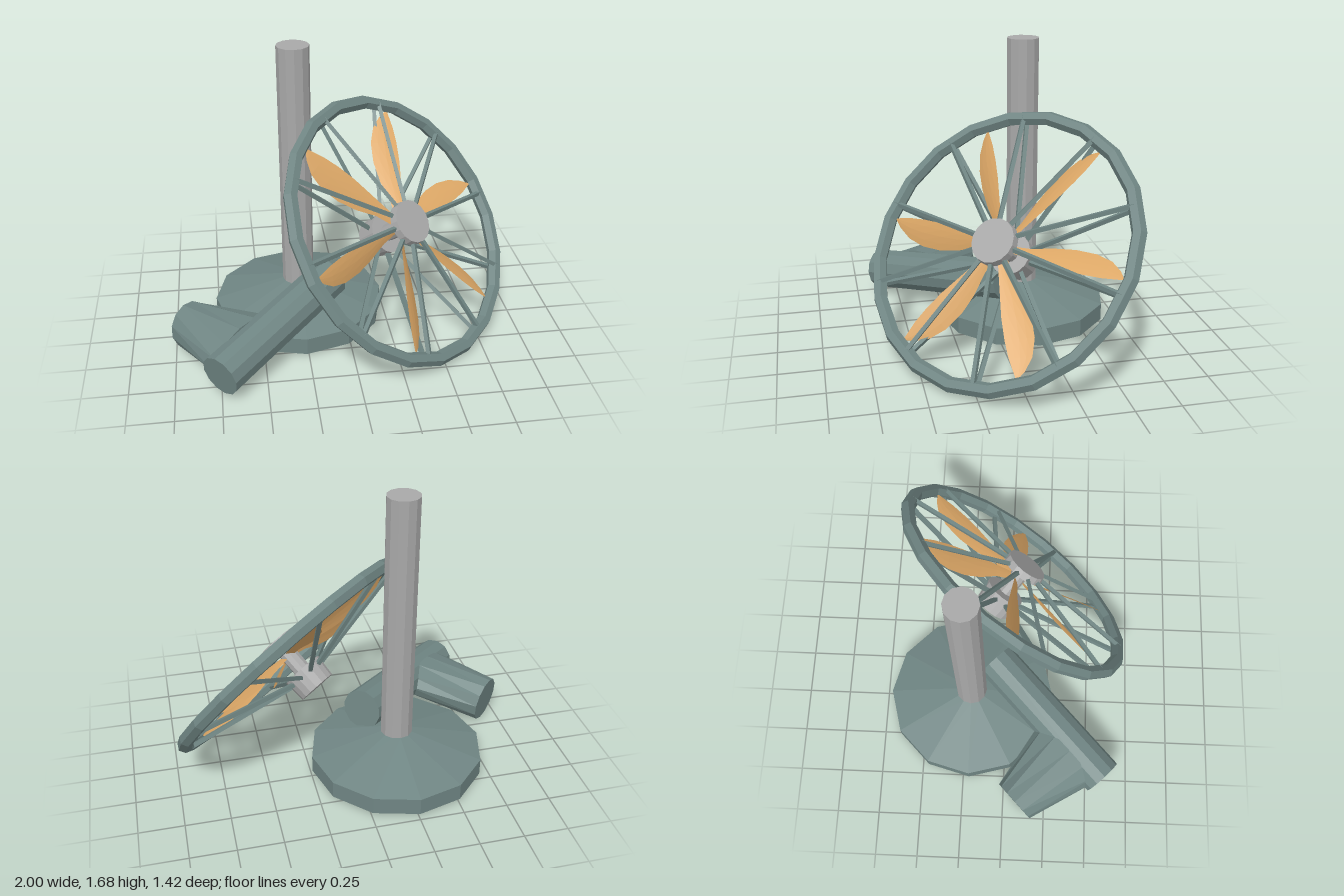
import * as THREE from 'three';

const mat = (color) => new THREE.MeshStandardMaterial({ color, flatShading: true, side: THREE.DoubleSide });
const green = mat(0x6f8583);
const grey = mat(0xa8a8a8);
const orange = mat(0xdca766);
const V = (x, y, z) => new THREE.Vector3(x, y, z);

function add(parent, name, geometry, material, x = 0, y = 0, z = 0) {
  const mesh = new THREE.Mesh(geometry, material);
  mesh.name = name;
  mesh.position.set(x, y, z);
  parent.add(mesh);
  return mesh;
}

// Group whose local x and z axes point along the given directions
function orientedGroup(name, origin, xDir, zDir) {
  const z = zDir.clone().normalize();
  const x = xDir.clone().addScaledVector(z, -xDir.dot(z)).normalize();
  const g = new THREE.Group();
  g.name = name;
  g.quaternion.setFromRotationMatrix(new THREE.Matrix4().makeBasis(x, z.clone().cross(x), z));
  g.position.copy(origin);
  return g;
}

// Thin square rod between two points
function rod(parent, name, a, b, r) {
  const d = b.clone().sub(a);
  const m = add(parent, name, new THREE.CylinderGeometry(r, r, d.length(), 4), green);
  m.position.copy(a).addScaledVector(d, 0.5);
  m.quaternion.setFromUnitVectors(V(0, 1, 0), d.normalize());
}

// Cylinder lying along local z, between z0 and z1
function axial(parent, name, r0, r1, z0, z1, sides) {
  const g = new THREE.CylinderGeometry(r1, r0, z1 - z0, sides).rotateX(Math.PI / 2);
  add(parent, name, g, grey, 0, 0, (z0 + z1) / 2);
}

// Pitched sickle blade: rows of [radius, trailing offset, leading offset]
function bladeGeometry() {
  const rows = [
    [0.05, -0.02, 0.02], [0.16, -0.025, 0.035], [0.28, -0.03, 0.075], [0.4, -0.035, 0.1],
    [0.52, -0.032, 0.105], [0.62, -0.022, 0.085], [0.69, -0.008, 0.045], [0.73, 0, 0.006],
  ];
  const n = 4, pos = [], idx = [];
  rows.forEach(([r, t, l], i) => {
    const pitch = Math.tan(0.62 - 0.25 * r);
    for (let j = 0; j <= n; j++) {
      const s = j / n, off = t + (l - t) * s;
      pos.push(r, off, -off * pitch + 0.05 * (l - t) * Math.sin(Math.PI * s));
      if (i && j) {
        const a = (i - 1) * (n + 1) + j - 1, b = a + n + 1;
        idx.push(a, b, b + 1, a, b + 1, a + 1);
      }
    }
  });
  const g = new THREE.BufferGeometry();
  g.setAttribute('position', new THREE.Float32BufferAttribute(pos, 3));
  g.setIndex(idx);
  g.computeVertexNormals();
  return g;
}

// Foot and pole
function createStand() {
  const g = new THREE.Group();
  g.name = 'stand';
  g.position.set(-0.26, 0, -0.215);
  add(g, 'footRim', new THREE.CylinderGeometry(0.5, 0.5, 0.1, 12), green, 0, 0.08, 0);
  add(g, 'footSlope', new THREE.CylinderGeometry(0.09, 0.5, 0.115, 12, 1, true), green, 0, 0.1875, 0);
  add(g, 'pole', new THREE.CylinderGeometry(0.092, 0.092, 1.6, 12), grey, 0, 0.9, 0);
  return g;
}

// Motor housing lying beside the foot, with its flared neck
function createHousing() {
  const g = orientedGroup('motorHousing', V(-0.755, 0.167, 0.595), V(0.665, 0.145, -0.67), V(0.34, 0.05, 0.35));
  const len = 0.955;
  add(g, 'motorBody', new THREE.CylinderGeometry(0.12, 0.12, len, 12).rotateZ(-Math.PI / 2), green, len / 2, 0, 0);
  // Neck widens only along the body
  const neck = new THREE.CylinderGeometry(0.135, 0.135, 0.44, 12).rotateX(Math.PI / 2);
  const p = neck.attributes.position;
  for (let i = 0; i < p.count; i++) {
    if (p.getZ(i) > 0) p.setXYZ(i, p.getX(i) * 1.8, p.getY(i) * 0.88, p.getZ(i));
  }
  neck.computeVertexNormals();
  add(g, 'neck', neck, green, 0.25, 0, -0.27);
  return g;
}

// Round guard with two sets of spokes, and the blades inside it
function createWheel() {
  const g = orientedGroup('fanWheel', V(0.31, 0.68, 0.035), V(0.722, 0, -0.69), V(0.545, 0.614, 0.57));
  add(g, 'rim', new THREE.TorusGeometry(0.768, 0.041, 6, 20), green);
  axial(g, 'frontCap', 0.13, 0.125, 0.06, 0.105, 16);
  axial(g, 'rearHub', 0.11, 0.12, -0.24, -0.11, 16);
  axial(g, 'shaft', 0.05, 0.05, -0.12, 0.07, 10);
  for (let i = 0; i < 10; i++) {
    const a = (29 + 36 * i) * Math.PI / 180, c = Math.cos(a), s = Math.sin(a);
    rod(g, 'frontSpoke', V(0.09 * c, 0.09 * s, 0.075), V(0.765 * c, 0.765 * s, 0.02), 0.016);
    rod(g, 'rearSpoke', V(0.09 * c, 0.09 * s, -0.15), V(0.765 * c, 0.765 * s, -0.02), 0.016);
  }
  const blade = bladeGeometry();
  for (let i = 0; i < 6; i++) {
    add(g, 'blade', blade, orange).rotation.z = (60 * i - 1) * Math.PI / 180;
  }
  return g;
}

export function createModel() {
  const model = new THREE.Group();
  model.name = 'dismantledFan';
  model.add(createStand(), createHousing(), createWheel());
  return model;
}
